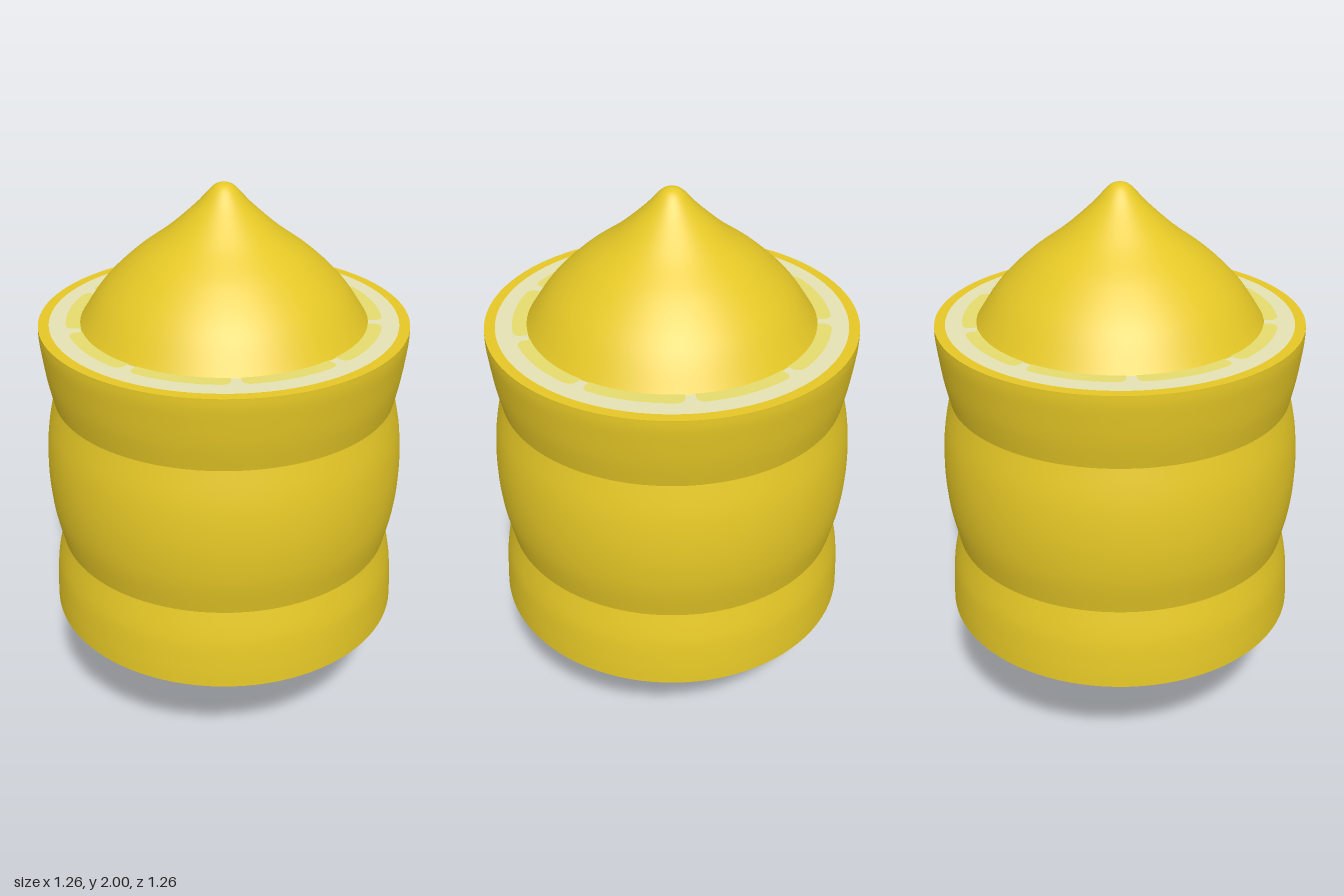
import * as THREE from 'three';

const SIDES = 96;
const Y0 = 0.447, Y1 = 1.535;            // heights of the two cut faces
const R = 0.628, PITH_R = 0.592, FLESH_R = 0.535;

const skin = new THREE.MeshStandardMaterial({ color: 0xe6c826 });
skin.name = 'skin';
const pith = new THREE.MeshStandardMaterial({ color: 0xe7e2b5 });
pith.name = 'pith';
const flesh = new THREE.MeshStandardMaterial({ color: 0xe6dc6e });
flesh.name = 'flesh';

function mesh(name, geometry, material) {
  const m = new THREE.Mesh(geometry, material);
  m.name = name;
  return m;
}

// Smooth turned surface through [radius, height] points, listed bottom to top
function turned(name, points, steps = 24) {
  const curve = new THREE.SplineCurve(points.map(([r, y]) => new THREE.Vector2(r, y)));
  const profile = curve.getPoints(steps);
  profile.forEach((p) => { p.x = Math.max(p.x, 0); });
  return mesh(name, new THREE.LatheGeometry(profile, SIDES), skin);
}

// One juicy wedge with rounded outer corners
function wedgeShape(start, span) {
  const gap = 0.016, inner = 0.1, shoulder = FLESH_R - 0.032, turn = 0.065;
  const at = (r, a) => [r * Math.cos(start + a), r * Math.sin(start + a)];
  const edge = (r) => Math.asin(gap / r);
  const a0 = edge(FLESH_R), a1 = span - a0;
  const s = new THREE.Shape();
  s.moveTo(...at(inner, edge(inner)));
  s.lineTo(...at(shoulder, edge(shoulder)));
  s.quadraticCurveTo(...at(FLESH_R, a0), ...at(FLESH_R, a0 + turn));
  s.absarc(0, 0, FLESH_R, start + a0 + turn, start + a1 - turn, false);
  s.quadraticCurveTo(...at(FLESH_R, a1), ...at(shoulder, span - edge(shoulder)));
  s.lineTo(...at(inner, span - edge(inner)));
  s.closePath();
  return s;
}

// Cut face: skin rim, pith disc and nine wedges, facing +y
function cutFace(name) {
  const face = new THREE.Group();
  face.name = name;
  const flat = (part, geometry, material, y) => {
    const m = mesh(part, geometry.rotateX(-Math.PI / 2), material);
    m.position.y = y;
    face.add(m);
  };
  const span = (Math.PI * 2) / 9;
  const wedges = Array.from({ length: 9 }, (_, i) => wedgeShape(i * span, span));
  flat('rim', new THREE.RingGeometry(PITH_R, R, SIDES), skin, 0);
  flat('pithDisc', new THREE.CircleGeometry(PITH_R, SIDES), pith, 0);
  flat('fleshWedges', new THREE.ShapeGeometry(wedges, 12), flesh, 0.002);
  return face;
}

export function createModel() {
  const model = new THREE.Group();
  model.name = 'slicedLemon';

  // Pointed ends
  model.add(turned('bottomEnd', [
    [0, 0], [0.035, 0.012], [0.09, 0.07], [0.175, 0.152],
    [0.28, 0.237], [0.386, 0.34], [0.472, Y0],
  ], 40));
  model.add(turned('topEnd', [
    [0.488, Y1], [0.41, 1.65], [0.305, 1.753], [0.19, 1.84],
    [0.095, 1.925], [0.035, 1.988], [0, 2],
  ], 40));

  // Three thick slices
  model.add(turned('bottomSlice', [
    [R, Y0], [0.625, 0.52], [0.616, 0.62], [0.593, 0.73],
  ]));
  model.add(turned('middleSlice', [
    [0.593, 0.73], [0.619, 0.86], [R, 1], [0.619, 1.14], [0.593, 1.27],
  ]));
  model.add(turned('topSlice', [
    [0.593, 1.27], [0.611, 1.36], [0.623, 1.45], [R, 1.5], [R, Y1],
  ]));

  // Exposed cut faces
  const top = cutFace('topCutFace');
  top.position.y = Y1;
  const bottom = cutFace('bottomCutFace');
  bottom.position.y = Y0;
  bottom.rotation.x = Math.PI;
  model.add(top, bottom);

  return model;
}
